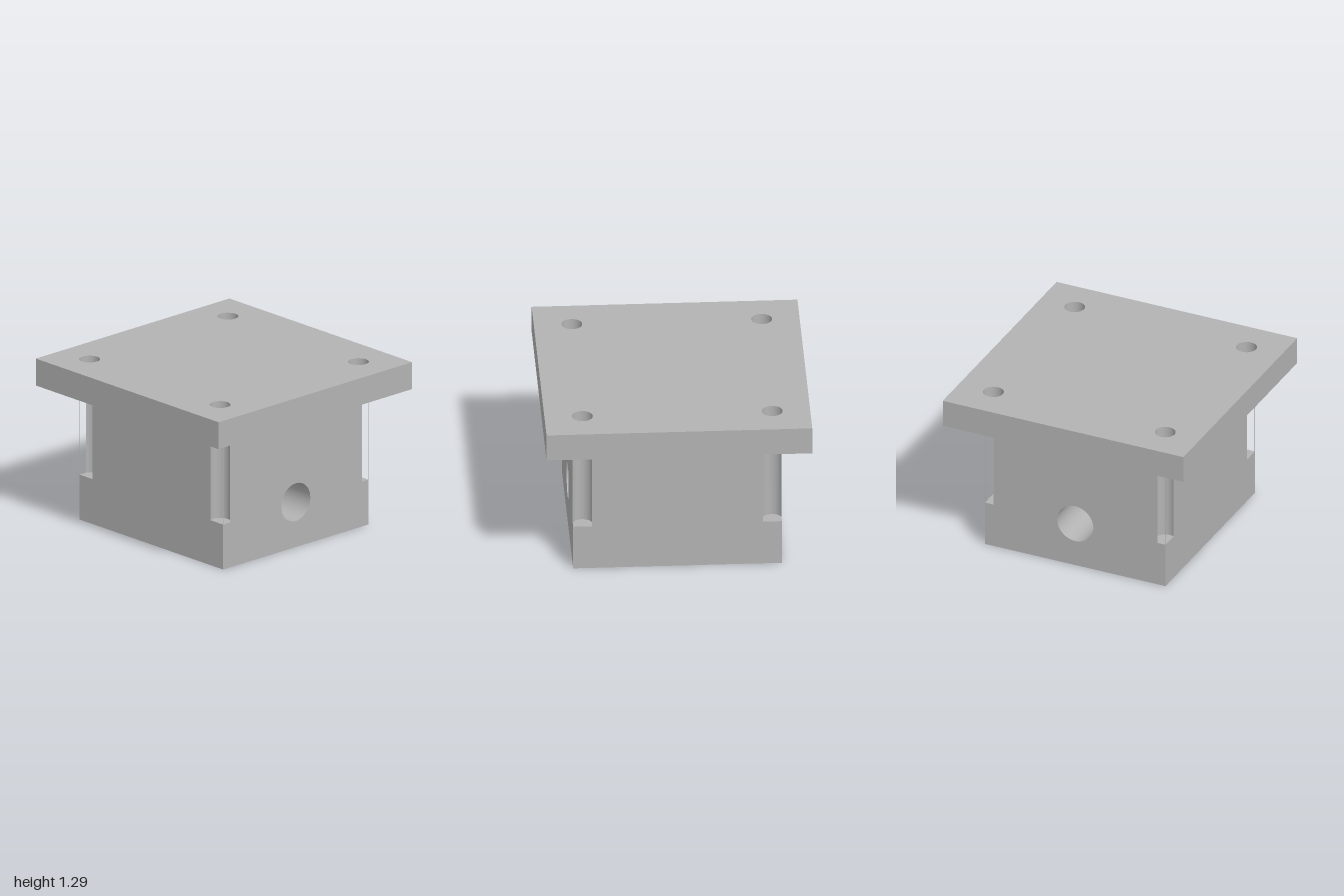
import * as THREE from 'three';
import { toCreasedNormals } from 'three/addons/utils/BufferGeometryUtils.js';

const UNIT = 1 / 14; // the plate is 28 units wide
const R = 1.1;       // bolt hole radius

const grey = new THREE.MeshStandardMaterial({ color: 0xb3b3b3 });
grey.name = 'grey';

function rect(x0, y0, x1, y1) {
  return new THREE.Shape([[x0, y0], [x1, y0], [x1, y1], [x0, y1]].map(p => new THREE.Vector2(...p)));
}

function circle(x, y, r) {
  return new THREE.Path().absarc(x, y, r, 0, Math.PI * 2, true);
}

function extrude(shape, depth) {
  return new THREE.ExtrudeGeometry(shape, { depth, bevelEnabled: false, curveSegments: 32 });
}

// Extrudes an x-z outline upward from y0 to y1
function slab(shape, y0, y1) {
  return extrude(shape, y1 - y0).rotateX(Math.PI / 2).translate(0, y1, 0);
}

function add(parent, name, geometry) {
  const mesh = new THREE.Mesh(toCreasedNormals(geometry, 0.6), grey);
  mesh.name = name;
  parent.add(mesh);
}

// One end of the body: bolt channels above, a slot in the underside
function createEnd(name) {
  const end = new THREE.Group();
  end.name = name;

  const dz = Math.sqrt(R * R - 1);    // channel meets the side face
  const dx = Math.sqrt(R * R - 0.25); // channel meets the end face
  const a = Math.atan2(dz, 1);
  const b = Math.atan2(0.5, -dx);

  const notched = new THREE.Shape();
  notched.moveTo(-11, 7);
  notched.lineTo(11, 7);
  notched.lineTo(11, 10 - dz);
  notched.absarc(10, 10, R, -a, b, true);
  notched.lineTo(-10 + dx, 10.5);
  notched.absarc(-10, 10, R, Math.PI - b, Math.PI + a, true);
  notched.closePath();
  add(end, 'channelledWall', slab(notched, 5, 15));
  add(end, 'lowerWall', slab(rect(-11, 7, 11, 10.5), 2, 5));

  // Rim around the slot
  add(end, 'slotOuterRim', slab(rect(-7.5, 10, 7.5, 10.5), 0, 2));
  for (const s of [-1, 1]) {
    add(end, 'slotEnd', slab(rect(Math.min(s * 7.5, s * 11), 7, Math.max(s * 7.5, s * 11), 10.5), 0, 2));
    // Thin sliver of corner left outside each channel
    const sliver = new THREE.Shape([
      new THREE.Vector2(s * 11, 10 + dz),
      new THREE.Vector2(s * 11, 10.5),
      new THREE.Vector2(s * (10 + dx), 10.5),
    ]);
    add(end, 'cornerSliver', slab(sliver, 5, 15));
  }
  return end;
}

export function createModel() {
  const model = new THREE.Group();
  model.name = 'mountingBlock';

  // Top plate with four bolt holes
  const plate = rect(-14, -14, 14, 14);
  for (const x of [-10, 10]) for (const z of [-10, 10]) plate.holes.push(circle(x, z, R));
  add(model, 'topPlate', slab(plate, 15, 18));

  // Middle of the body with the cross bore running along x
  const middle = rect(-7, 0, 7, 15);
  middle.holes.push(circle(0, 5, 2.1));
  add(model, 'boredBody', extrude(middle, 22).translate(0, 0, -11).rotateY(Math.PI / 2));

  // Matching front and back ends
  const back = createEnd('backEnd');
  back.rotation.y = Math.PI;
  model.add(createEnd('frontEnd'), back);

  model.scale.setScalar(UNIT);
  return model;
}
